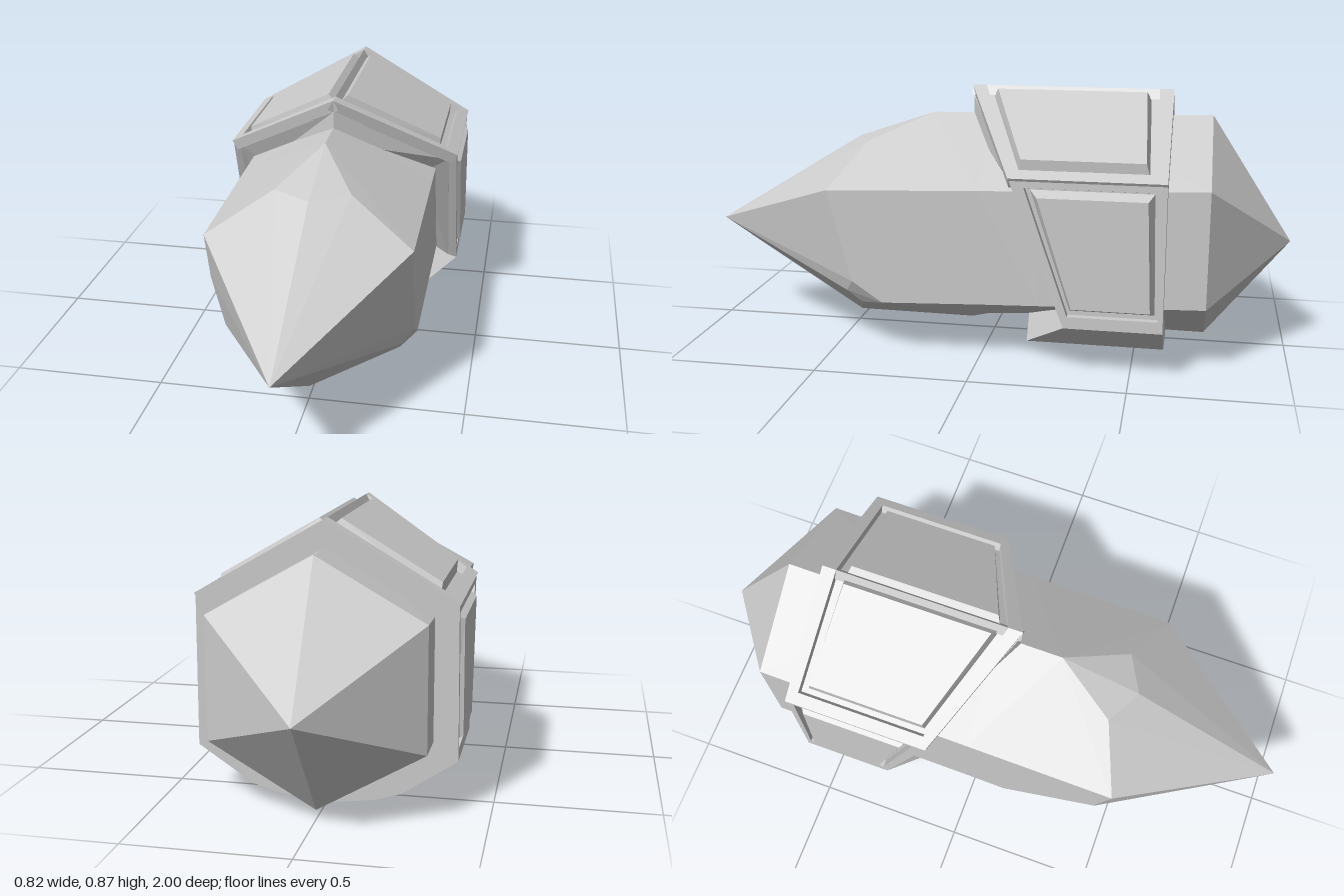
import * as THREE from 'three';
import { ConvexGeometry } from 'three/addons/geometries/ConvexGeometry.js';
import { mergeGeometries } from 'three/addons/utils/BufferGeometryUtils.js';

const V = (x, y, z) => new THREE.Vector3(x, y, z);
const material = new THREE.MeshStandardMaterial({ color: 0xcccccc, flatShading: true });

function addMesh(group, name, geometry) {
  const mesh = new THREE.Mesh(geometry, material);
  mesh.name = name;
  group.add(mesh);
}

// Skin a list of closed rings; optionally cap the last one, optionally mirror in x
function loft(rings, { cap = false, side = 1 } = {}) {
  const pos = [];
  const tri = (a, b, c) => {
    for (const p of side > 0 ? [a, b, c] : [a, c, b]) pos.push(p.x * side, p.y, p.z);
  };
  for (let r = 0; r + 1 < rings.length; r++) {
    const A = rings[r], B = rings[r + 1], n = A.length;
    for (let i = 0; i < n; i++) {
      const j = (i + 1) % n;
      tri(A[i], A[j], B[j]);
      tri(A[i], B[j], B[i]);
    }
  }
  if (cap) {
    const L = rings[rings.length - 1];
    for (let i = 1; i + 1 < L.length; i++) tri(L[0], L[i], L[i + 1]);
  }
  const g = new THREE.BufferGeometry();
  g.setAttribute('position', new THREE.Float32BufferAttribute(pos, 3));
  g.computeVertexNormals();
  return g;
}

// Hexagonal crystal section at z; cutY chips away the bottom ridge
function section(z, cutY) {
  const t = (z + 0.73) / 1.18;
  const at = (a, b) => THREE.MathUtils.lerp(a, b, t);
  const top = at(0.79, 0.77), up = at(0.605, 0.562), low = at(0.225, 0.185), bot = at(0.035, 0.043);
  const pts = [V(0, top, z), V(0.325, up, z), V(-0.325, up, z), V(0.325, low, z), V(-0.325, low, z)];
  if (cutY === undefined) pts.push(V(0, bot, z));
  else {
    const x = 0.325 * (cutY - bot) / (low - bot);
    pts.push(V(x, cutY, z), V(-x, cutY, z));
  }
  return pts;
}

// Panel: raised rim, groove and raised plate over a four-cornered face.
// Each step is [u0, u1, v0, v1, height].
function panel(c, steps, side) {
  const n = c[1].clone().sub(c[0]).cross(c[3].clone().sub(c[0])).normalize();
  const point = (u, v, h) => c[0].clone().lerp(c[1], u)
    .lerp(c[3].clone().lerp(c[2], u), v).addScaledVector(n, h);
  const rings = steps.map(([u0, u1, v0, v1, h]) =>
    [point(u0, v0, h), point(u1, v0, h), point(u1, v1, h), point(u0, v1, h)]);
  return loft(rings, { cap: true, side });
}

export function createModel() {
  const model = new THREE.Group();

  // Crystal: front point with chipped corners, notched middle, rear point
  const front = [
    ...section(0, 0.1),
    V(0, 0.042, 0.08), V(0, 0.045, 0.49), V(0, 0.365, 1),
    V(0.325, 0.56, 0.5), V(-0.325, 0.56, 0.5),
    V(0, 0.775, 0.21), V(0.12, 0.69, 0.41), V(-0.12, 0.69, 0.41), V(0, 0.685, 0.475),
    V(0.325, 0.255, 0.42), V(0.29, 0.212, 0.45), V(0.325, 0.187, 0.32), V(0.28, 0.17, 0.4),
    V(-0.325, 0.39, 0.45), V(-0.28, 0.225, 0.46), V(-0.325, 0.192, 0.13), V(-0.17, 0.115, 0.44),
  ];
  const middle = [...section(0, 0.1), ...section(-0.2, 0.135)];
  const rear = [...section(-0.2), ...section(-0.73), V(0, 0.375, -1)];
  addMesh(model, 'crystal', mergeGeometries([front, middle, rear].map((p) => new ConvexGeometry(p))));

  // Collar core: a band round the crystal with a jagged front edge
  const half = [[0.15, 0.025, -0.31], [0.23, 0.05, -0.15], [0.4, 0.165, -0.29],
    [0.37, 0.172, -0.287], [0.37, 0.622, -0.115]];
  const outline = [[0, 0.005, -0.37], ...half, [0, 0.832, 0.07],
    ...half.slice().reverse().map(([x, y, z]) => [-x, y, z])];
  const ring = (scale, z) => outline.map(([x, y, zf]) =>
    V(x * scale, 0.41 + (y - 0.41) * scale, z ?? zf));
  addMesh(model, 'collarCore', loft([ring(0.75, -0.6), ring(1, -0.6), ring(1), ring(0.75)]));

  // Armour panels, two on the roof and one on each flank
  const roof = [V(0, 0.872, 0.075), V(0.4, 0.64, -0.112), V(0.4, 0.64, -0.6), V(0, 0.872, -0.6)];
  const roofSteps = [
    [0, 1, 0, 1, -0.037], [0, 1, 0, 1, 0],
    [0, 0.91, 0.07, 0.93, 0], [0, 0.91, 0.07, 0.93, -0.03],
    [0.04, 0.87, 0.1, 0.89, -0.03], [0.07, 0.83, 0.12, 0.87, 0.01],
  ];
  const flank = [V(0.4, 0.165, -0.29), V(0.4, 0.165, -0.6), V(0.395, 0.64, -0.6), V(0.395, 0.64, -0.112)];
  const flankSteps = [
    [0, 1, 0, 1, -0.037], [0, 1, 0, 1, 0],
    [0.08, 0.95, 0.08, 0.94, 0], [0.08, 0.95, 0.08, 0.94, -0.025],
    [0.11, 0.92, 0.11, 0.92, -0.025], [0.15, 0.88, 0.14, 0.88, 0.01],
  ];
  for (const side of [1, -1]) {
    const label = side > 0 ? 'left' : 'right';
    addMesh(model, label + 'RoofPanel', panel(roof, roofSteps, side));
    addMesh(model, label + 'FlankPanel', panel(flank, flankSteps, side));
  }
  return model;
}
